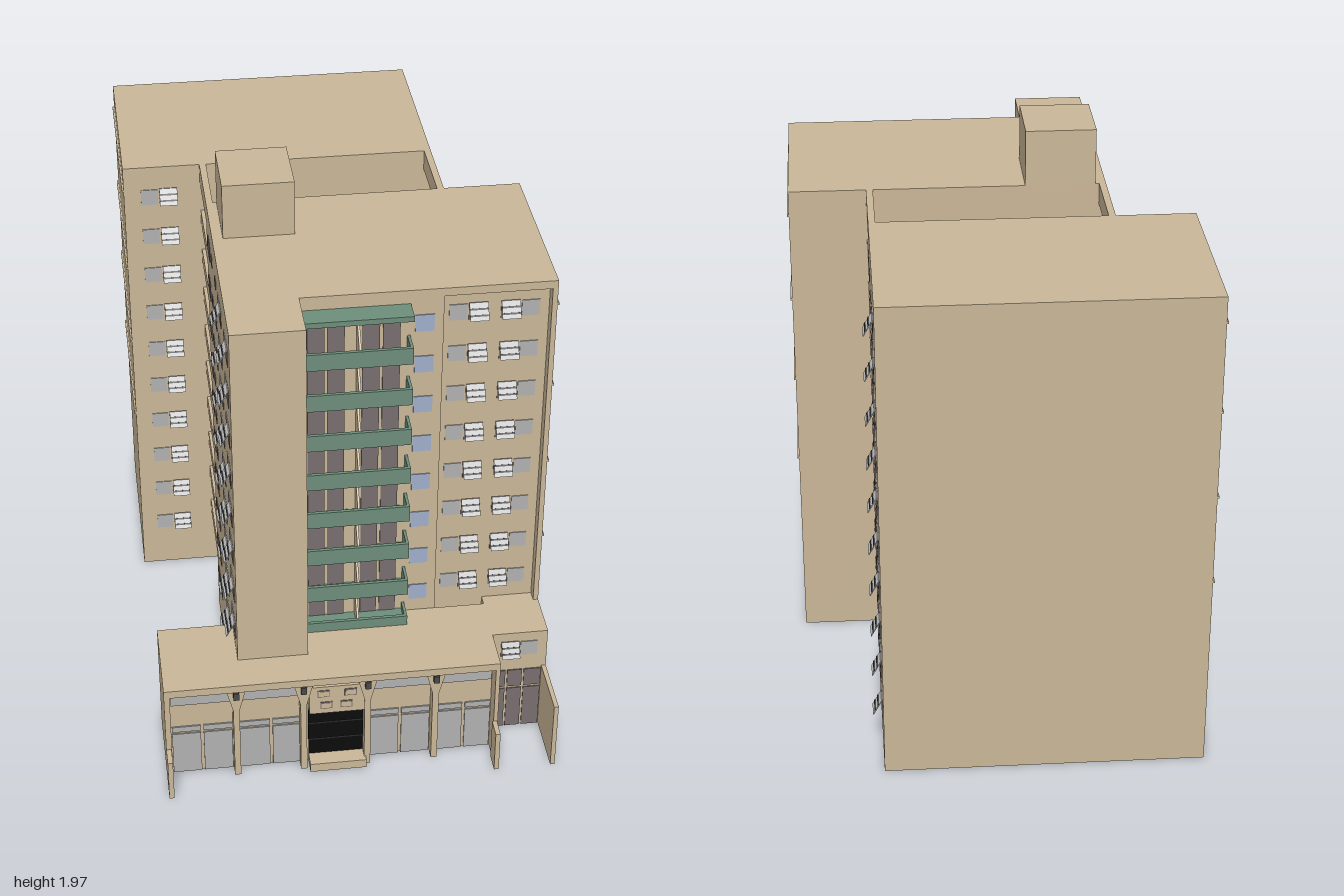
import * as THREE from 'three';

const mat = (color) => new THREE.MeshStandardMaterial({ color, side: THREE.DoubleSide, flatShading: true });
const TAN = mat(0xcbb899), GREEN = mat(0x6f8f7c), GLASS = mat(0xb2b2b2), DARK = mat(0x786f70);
const BLUE = mat(0xa2b0cc), BLACK = mat(0x0c0c0c), SASH = mat(0xc4c4c4), IRON = mat(0x4a4a4a);
const FLOOR = 0.1613, TOP = 1.65; // storey pitch and centre of the highest window row

// Box given by its min and max on each axis
function box(parent, name, m, x0, x1, y0, y1, z0, z1) {
  const mesh = new THREE.Mesh(new THREE.BoxGeometry(x1 - x0, y1 - y0, z1 - z0), m);
  mesh.position.set((x0 + x1) / 2, (y0 + y1) / 2, (z0 + z1) / 2);
  mesh.name = name;
  parent.add(mesh);
  return mesh;
}

// Outline in the xy plane pushed along z
function extrude(parent, name, m, pts, depth) {
  const shape = new THREE.Shape(pts.map((p) => new THREE.Vector2(p[0], p[1])));
  const mesh = new THREE.Mesh(new THREE.ExtrudeGeometry(shape, { depth, bevelEnabled: false }), m);
  mesh.name = name;
  parent.add(mesh);
  return mesh;
}

// Flat pane centred on (u, v) of a wall whose outside is local +z
function pane(wall, name, m, u, v, w, h) {
  return box(wall, name, m, u - w / 2, u + w / 2, v - h / 2, v + h / 2, -0.004, 0.003);
}

// Window opening with a top-hung sash pushed outwards
function awning(wall, u, v) {
  const w = 0.064, h = 0.066;
  pane(wall, 'awningOpening', DARK, u, v, w, h);
  const sash = new THREE.Group();
  sash.name = 'awningSash';
  sash.position.set(u, v + h / 2, 0.003);
  sash.rotation.x = -0.5;
  box(sash, 'sashPane', SASH, -w / 2, w / 2, -0.062, 0, -0.001, 0.002);
  for (const y of [-0.022, -0.044]) box(sash, 'sashBar', IRON, -w / 2, w / 2, y - 0.003, y + 0.003, 0.001, 0.004);
  wall.add(sash);
}

// Fixed light with an awning next to it; dir is the side the awning is on
function windowPair(wall, u, v, dir) {
  pane(wall, 'fixedLight', GLASS, u - dir * 0.034, v, 0.06, 0.06);
  awning(wall, u + dir * 0.034, v);
}

function wallGroup(parent, name, x, z, turn = 0) {
  const g = new THREE.Group();
  g.name = name;
  g.position.set(x, 0, z);
  g.rotation.y = turn;
  parent.add(g);
  return g;
}

function rows(count, fn) {
  for (let i = 0; i < count; i++) fn(TOP - i * FLOOR, i);
}

function sideWindows(wall, offset) {
  rows(10, (v) => {
    pane(wall, 'sideWindow', DARK, offset + 0.045, v, 0.07, 0.07);
    pane(wall, 'smallVent', DARK, offset + 0.155, v + 0.014, 0.038, 0.036);
    pane(wall, 'smallVent', DARK, offset + 0.3, v + 0.014, 0.038, 0.036);
    windowPair(wall, offset + 0.448, v, 1);
  });
}

// One storey of balcony: open tray, sloping divider and doors behind
function balcony(g, y0, y1) {
  const x0 = -0.17, x1 = 0.197;
  box(g, 'balconyFloor', GREEN, x0, x1, y0, y0 + 0.012, 0.6, 0.68);
  box(g, 'balconyFront', GREEN, x0, x1, y0, y1, 0.668, 0.68);
  box(g, 'balconyEnd', GREEN, x1 - 0.01, x1, y0, y1, 0.6, 0.67);
  for (const x of [-0.168, 0.018]) {
    const fin = extrude(g, 'balconyDivider', TAN, [[-0.598, y0], [-0.67, y0], [-0.67, y1], [-0.602, y1 + 0.097]], 0.008);
    fin.rotation.y = Math.PI / 2;
    fin.position.x = x;
  }
  for (const x of [-0.117, -0.05, 0.067, 0.135])
    box(g, 'balconyDoor', DARK, x - 0.029, x + 0.029, y0 + 0.012, y1 + 0.073, 0.598, 0.604);
}

function createModel() {
  const model = new THREE.Group();
  model.name = 'apartmentBuilding';

  // Rear tower
  const rear = wallGroup(model, 'rearTower', 0, 0);
  box(rear, 'rearBlock', TAN, -0.69, 0.417, 0, 1.77, -1, -0.34);
  sideWindows(wallGroup(rear, 'rearSideWindows', 0.417, 0, Math.PI / 2), 0.4);
  const rearFront = wallGroup(rear, 'rearFrontWindows', 0, -0.34);
  rows(10, (v) => windowPair(rearFront, -0.565, v, 1));

  // Front tower with its deeper stair bay and a recessed window panel
  const front = wallGroup(model, 'frontTower', 0, 0);
  box(front, 'frontBlock', TAN, -0.417, 0.686, 0, 1.77, -0.06, 0.56);
  box(front, 'balconyWall', TAN, -0.17, 0.308, 0, 1.77, 0.56, 0.6);
  box(front, 'panelEdge', TAN, 0.668, 0.686, 0, 1.77, 0.56, 0.6);
  box(front, 'panelHead', TAN, 0.308, 0.668, 1.74, 1.77, 0.56, 0.6);
  box(front, 'stairBay', TAN, -0.417, -0.17, 0, 1.77, 0.56, 0.795);
  box(front, 'roofHouse', TAN, -0.38, -0.135, 1.77, 1.97, -0.06, 0.19);
  const leftWall = wallGroup(front, 'frontSideWindows', -0.417, 0, -Math.PI / 2);
  sideWindows(leftWall, 0);
  rows(8, (v) => windowPair(leftWall, 0.68, v, 1));
  const panel = wallGroup(front, 'panelWindows', 0, 0.56);
  const main = wallGroup(front, 'blueWindows', 0, 0.6);
  rows(8, (v) => {
    windowPair(panel, 0.396, v, 1);
    windowPair(panel, 0.572, v, -1);
    pane(main, 'blueWindow', BLUE, 0.245, v - 0.007, 0.064, 0.064);
  });

  // Balconies
  const balconies = wallGroup(front, 'balconies', 0, 0);
  rows(8, (v, i) => balcony(balconies, Math.max(0.43, 1.535 - i * FLOOR), 1.598 - i * FLOOR));
  box(balconies, 'balconyCanopy', GREEN, -0.17, 0.197, 1.7, 1.72, 0.6, 0.68);

  // Thin ledges on the two blank side walls
  for (const y of [1.68, 1.36, 1.045, 0.72]) {
    box(front, 'sideLedge', TAN, 0.68, 0.692, y - 0.004, y + 0.004, -0.06, 0.6);
    box(rear, 'sideLedge', TAN, -0.696, -0.68, y - 0.004, y + 0.004, -1, -0.34);
  }

  // Beams linking the towers around the open court
  for (let i = 0; i < 10; i++) {
    const y = 1.718 - i * 0.1623;
    for (const x of [-0.417, 0.393])
      box(model, 'linkBeam', TAN, x, x + 0.024, y - (i ? 0.025 : 0.023), y + (i ? 0.028 : 0.052), -0.34, -0.06);
  }

  // Street-level podium
  const podium = wallGroup(model, 'podium', 0, 0);
  box(podium, 'podiumBody', TAN, -0.685, 0.487, 0, 0.43, 0.6, 0.865);
  box(podium, 'podiumFascia', TAN, -0.685, 0.487, 0.4, 0.43, 0.865, 0.93);
  box(podium, 'endPier', TAN, -0.685, -0.665, 0, 0.4, 0.865, 0.93);
  box(podium, 'endPier', TAN, 0.472, 0.487, 0, 0.4, 0.865, 0.93);
  box(podium, 'shopBody', TAN, 0.487, 0.686, 0, 0.43, 0.56, 0.775);
  box(podium, 'lowWall', TAN, -0.685, -0.667, 0, 0.165, 0.93, 1);
  box(podium, 'lowWall', TAN, 0.467, 0.484, 0, 0.165, 0.93, 1);
  box(podium, 'boundaryWall', TAN, 0.67, 0.686, 0, 0.27, 0.775, 1);

  // Shop glazing between flared columns
  for (const [x0, x1] of [[-0.66, -0.448], [-0.422, -0.2], [0.04, 0.252], [0.278, 0.47]]) {
    box(podium, 'upperGlazing', GLASS, x0, x1, 0.31, 0.37, 0.86, 0.87);
    const mid = (x0 + x1) / 2;
    for (const [a, b] of [[x0, mid - 0.005], [mid + 0.005, x1]]) {
      box(podium, 'shopWindow', GLASS, a, b, 0, 0.178, 0.86, 0.87);
      box(podium, 'transomLight', GLASS, a, b, 0.187, 0.21, 0.86, 0.87);
    }
  }
  for (const x of [-0.435, -0.2, 0.025, 0.265]) {
    const s = 0.011, f = 0.036;
    const column = extrude(podium, 'flaredColumn', TAN,
      [[-s, 0], [s, 0], [s, 0.3], [f, 0.4], [-f, 0.4], [-s, 0.3]], 0.045);
    column.position.set(x, 0, 0.865);
    box(podium, 'columnLamp', IRON, x - 0.01, x + 0.01, 0.36, 0.39, 0.905, 0.925);
  }

  // Entrance portal
  const door = wallGroup(podium, 'entrance', 0, 0);
  box(door, 'entranceHead', TAN, -0.18, 0.02, 0.25, 0.37, 0.865, 0.905);
  box(door, 'entranceStep', TAN, -0.18, 0.02, 0, 0.035, 0.865, 0.93);
  box(door, 'entranceOpening', BLACK, -0.18, 0.017, 0.035, 0.25, 0.86, 0.872);
  for (const y of [0.1, 0.175]) box(door, 'entranceRail', IRON, -0.18, 0.017, y, y + 0.004, 0.87, 0.876);
  for (const [x, y] of [[-0.13, 0.34], [-0.035, 0.34], [-0.12, 0.287], [-0.05, 0.287]]) {
    box(door, 'entrancePanelRim', DARK, x - 0.021, x + 0.021, y - 0.015, y + 0.015, 0.9, 0.907);
    box(door, 'entrancePanel', TAN, x - 0.018, x + 0.018, y - 0.012, y + 0.012, 0.9, 0.909);
  }

  // Side shop front
  for (const [x0, x1] of [[0.49, 0.54], [0.547, 0.6], [0.607, 0.668]]) {
    box(podium, 'sideShopDoor', DARK, x0, x1, 0, 0.178, 0.77, 0.779);
    box(podium, 'sideShopTransom', DARK, x0, x1, 0.187, 0.262, 0.77, 0.779);
  }
  windowPair(wallGroup(podium, 'sideShopWindow', 0, 0.775), 0.586, 0.36, -1);

  return model;
}

export { createModel };
